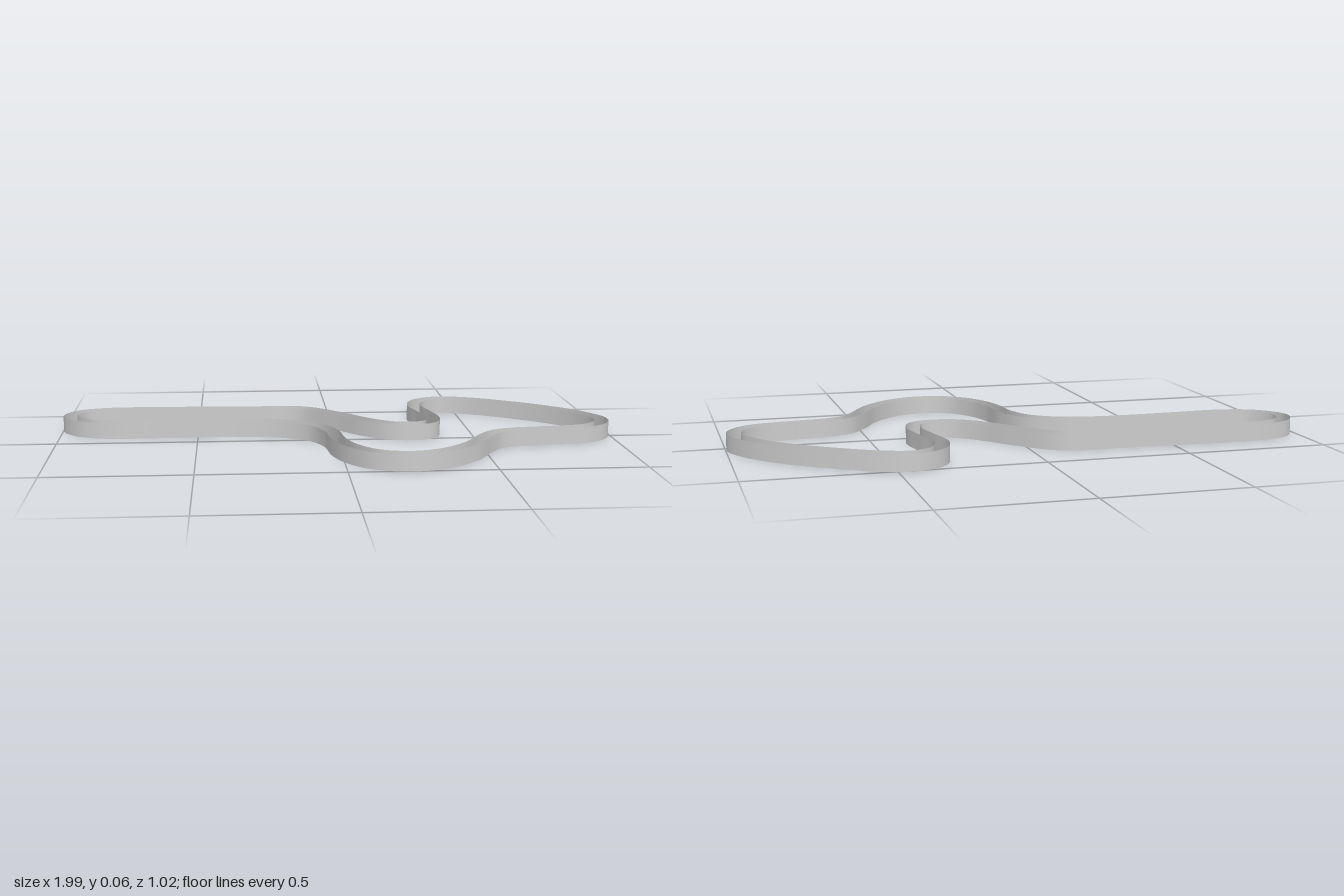
import * as THREE from 'three';

const HEIGHT = 0.058;   // wall height
const HALF_WIDTH = 0.025; // half the track width
const SEGMENTS = 240;

// Centre line of the circuit as [x, z], clockwise seen from above
const CENTRE = [
  [-0.973, -0.222], [-0.935, -0.305], [-0.85, -0.34], [-0.71, -0.348], [-0.5, -0.341],
  [-0.25, -0.332], [-0.16, -0.334], [-0.09, -0.308], [0.02, -0.195], [0.12, -0.072],
  [0.195, -0.013], [0.27, 0.003], [0.338, -0.02], [0.361, -0.09], [0.345, -0.21],
  [0.321, -0.345], [0.35, -0.437], [0.43, -0.487], [0.53, -0.468], [0.68, -0.38],
  [0.83, -0.26], [0.93, -0.14], [0.972, -0.035], [0.948, 0.042], [0.885, 0.09],
  [0.75, 0.115], [0.62, 0.132], [0.553, 0.162], [0.505, 0.222], [0.43, 0.35],
  [0.32, 0.45], [0.206, 0.481], [0.1, 0.447], [0.025, 0.355], [-0.012, 0.243],
  [-0.028, 0.11], [-0.078, 0.003], [-0.185, -0.069], [-0.335, -0.1], [-0.615, -0.1],
  [-0.8, -0.097], [-0.91, -0.133],
];

// Upright ribbon that follows the centre line at a sideways offset
function wall(name, curve, offset, material) {
  const position = [], normal = [], index = [];
  for (let i = 0; i <= SEGMENTS; i++) {
    const t = (i % SEGMENTS) / SEGMENTS;
    const p = curve.getPointAt(t);
    const d = curve.getTangentAt(t);
    const nx = d.z, nz = -d.x; // points away from the enclosed area
    for (const y of [0, HEIGHT]) {
      position.push(p.x + nx * offset, y, p.z + nz * offset);
      normal.push(nx, 0, nz);
    }
    if (i < SEGMENTS) {
      const a = i * 2;
      index.push(a, a + 1, a + 2, a + 1, a + 3, a + 2);
    }
  }
  const geometry = new THREE.BufferGeometry();
  geometry.setAttribute('position', new THREE.Float32BufferAttribute(position, 3));
  geometry.setAttribute('normal', new THREE.Float32BufferAttribute(normal, 3));
  geometry.setIndex(index);
  const mesh = new THREE.Mesh(geometry, material);
  mesh.name = name;
  return mesh;
}

export function createModel() {
  const group = new THREE.Group();
  group.name = 'raceTrack';
  const material = new THREE.MeshStandardMaterial({ color: 0xcccccc, side: THREE.DoubleSide });
  const points = CENTRE.map(([x, z]) => new THREE.Vector3(x, 0, z));
  const curve = new THREE.CatmullRomCurve3(points, true, 'centripetal');
  curve.arcLengthDivisions = 1000;

  // Outer and inner walls either side of the open track
  group.add(wall('outerWall', curve, HALF_WIDTH, material));
  group.add(wall('innerWall', curve, -HALF_WIDTH, material));
  return group;
}
